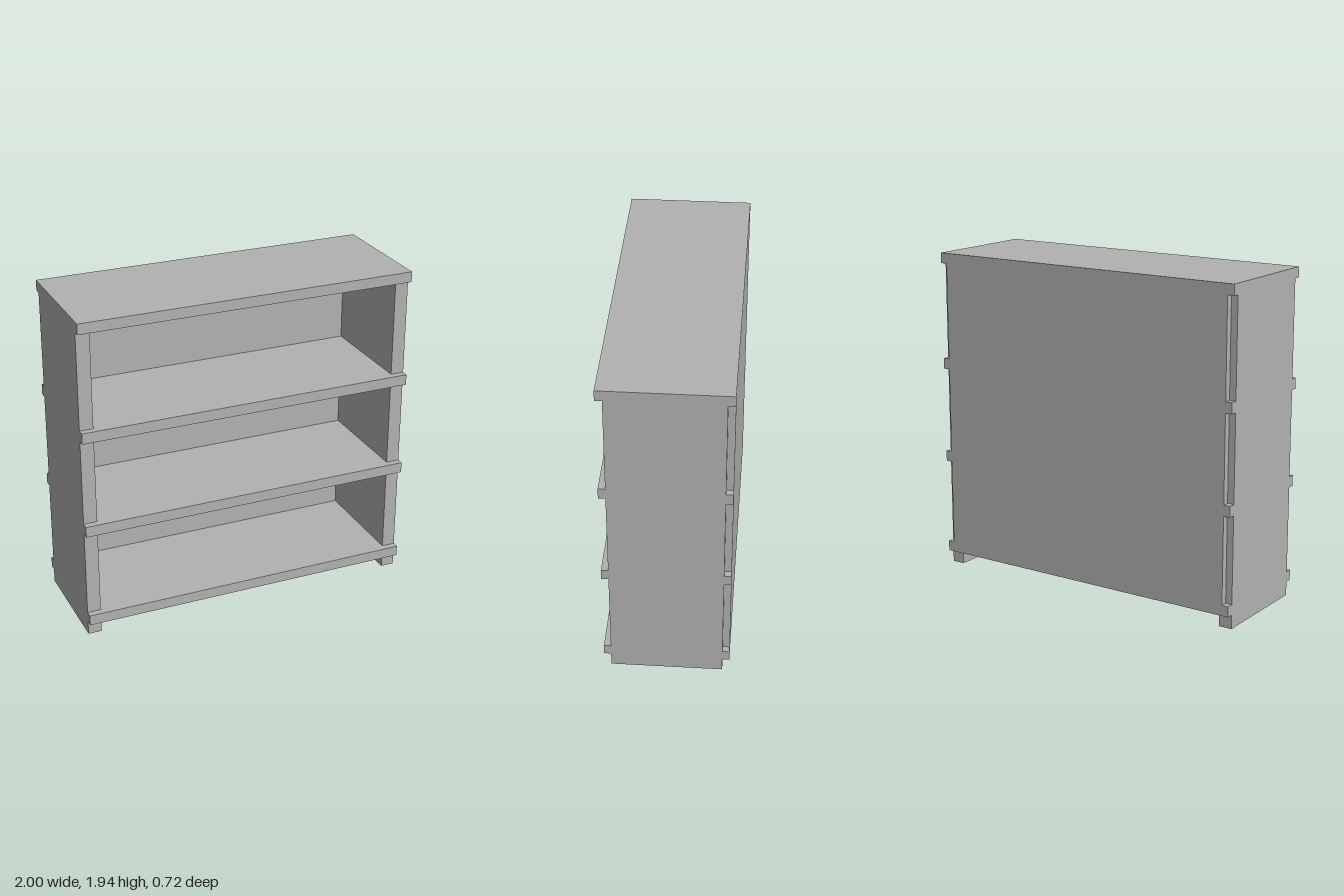
import * as THREE from 'three';

export function createModel() {
  const group = new THREE.Group();
  const grey = new THREE.MeshStandardMaterial({ color: 0xb2b2b2 });
  grey.name = 'plain grey';

  // Box given by its lower and upper limits on each axis
  function box(name, [x0, x1], [y0, y1], [z0, z1]) {
    const mesh = new THREE.Mesh(new THREE.BoxGeometry(x1 - x0, y1 - y0, z1 - z0), grey);
    mesh.position.set((x0 + x1) / 2, (y0 + y1) / 2, (z0 + z1) / 2);
    mesh.name = name;
    group.add(mesh);
  }

  const depth = 0.36, sideDepth = 0.32, inner = 0.92, panelHalf = 0.96;
  const boards = [[0.082, 0.144], [0.66, 0.724], [1.238, 1.302], [1.878, 1.94]];

  // Boards: three shelves and the top
  boards.forEach((y, i) => box(i === 3 ? 'topBoard' : 'shelf' + (i + 1), [-1, 1], y, [-depth, depth]));

  // Side walls and feet, fitted between the boards
  for (const [label, x] of [['left', [inner, 1]], ['right', [-1, -inner]]]) {
    box(label + 'Foot', x, [0, boards[0][0]], [-sideDepth, sideDepth]);
    for (let i = 0; i < 3; i++) {
      box(label + 'Side' + (i + 1), x, [boards[i][1], boards[i + 1][0]], [-sideDepth, sideDepth]);
    }
  }

  // Back panels, slightly narrower than the boards
  for (let i = 0; i < 3; i++) {
    box('backPanel' + (i + 1), [-panelHalf, panelHalf], [boards[i][1], boards[i + 1][0]], [-depth, -sideDepth]);
  }
  return group;
}
